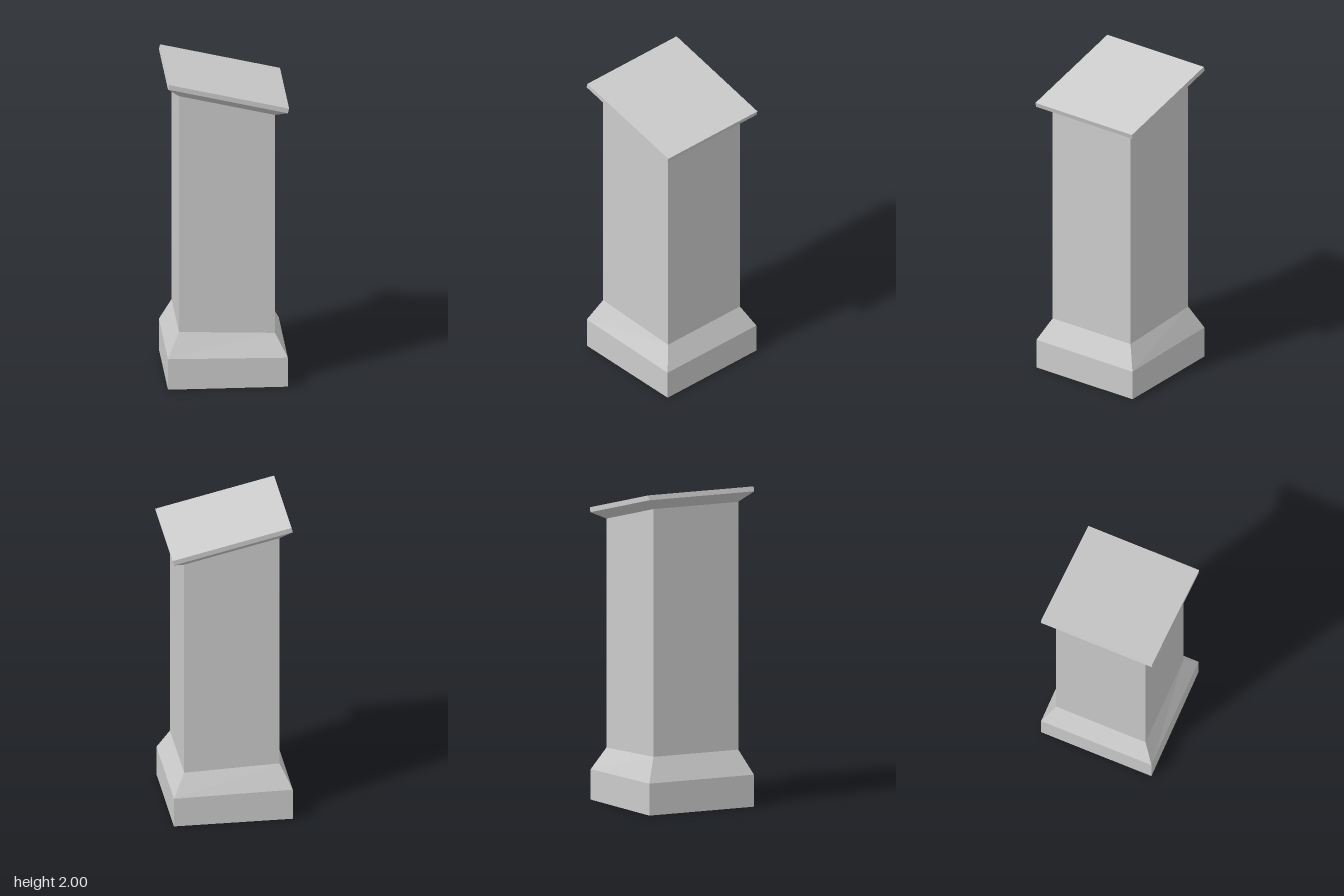
import * as THREE from 'three';

const material = new THREE.MeshStandardMaterial({ color: 0xcccccc, flatShading: true, side: THREE.DoubleSide });

// Rectangular cross-sections, bottom to top; each may slope from its right side to its left.
const sections = [
  { x0: -0.375, y0: 0, x1: 0.367, y1: 0, z: 0.37 },
  { x0: -0.375, y0: 0.2, x1: 0.367, y1: 0.19, z: 0.37 },
  { x0: -0.302, y0: 0.352, x1: 0.293, y1: 0.33, z: 0.3 },
  { x0: -0.302, y0: 1.9, x1: 0.293, y1: 1.76, z: 0.3 },
  { x0: -0.375, y0: 1.97, x1: 0.367, y1: 1.795, z: 0.372 },
  { x0: -0.367, y0: 2, x1: 0.375, y1: 1.825, z: 0.372 },
];

// Four corners, counterclockwise from above
const corners = ({ x0, y0, x1, y1, z }) => [[x0, y0, z], [x1, y1, z], [x1, y1, -z], [x0, y0, -z]];

// Four walls joining two sections, optionally closed on top
function band(name, lower, upper, capped = false) {
  const a = corners(lower), b = corners(upper);
  const points = [];
  const quad = (p, q, r, s) => points.push(...p, ...q, ...r, ...p, ...r, ...s);
  for (let i = 0; i < 4; i++) {
    const j = (i + 1) % 4;
    quad(a[i], a[j], b[j], b[i]);
  }
  if (capped) quad(...b);
  const geometry = new THREE.BufferGeometry();
  geometry.setAttribute('position', new THREE.Float32BufferAttribute(points, 3));
  geometry.computeVertexNormals();
  const mesh = new THREE.Mesh(geometry, material);
  mesh.name = name;
  return mesh;
}

export function createModel() {
  const group = new THREE.Group();
  group.name = 'pedestal';
  // Hollow plinth open at the floor, tapered collar, shaft, flare and slanted top slab
  const names = ['plinth', 'collar', 'shaft', 'flare', 'topSlab'];
  names.forEach((name, i) => group.add(band(name, sections[i], sections[i + 1], name === 'topSlab')));
  return group;
}
